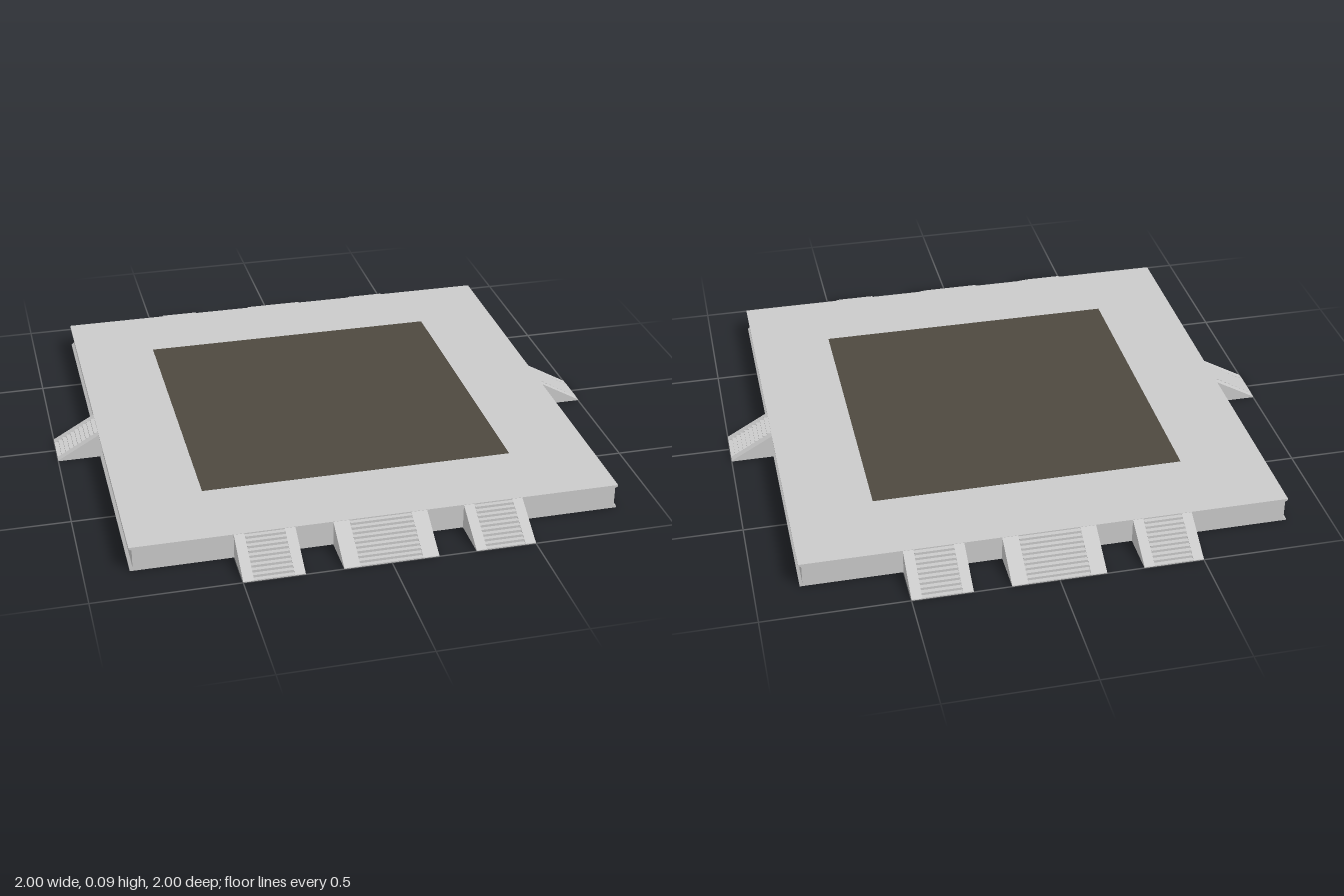
import * as THREE from 'three';

const HALF = 0.848, HEIGHT = 0.09, RUN = 0.152;

// Extrudes a side profile (outward, up) across a width centred on x = 0, running out to +z
function extrudeProfile(points, width) {
  const shape = new THREE.Shape(points.map(([a, b]) => new THREE.Vector2(a, b)));
  const geo = new THREE.ExtrudeGeometry(shape, { depth: width, bevelEnabled: false });
  geo.translate(0, 0, -width / 2);
  geo.rotateY(-Math.PI / 2);
  return geo;
}

function makeStair(name, width, cheek, steps, stone) {
  const stair = new THREE.Group();
  stair.name = name;

  // Saw-tooth flight of steps
  const profile = [[-0.012, 0], [RUN, 0]];
  for (let i = steps - 1; i >= 0; i--) {
    const y = HEIGHT * (1 - (i + 0.5) / steps);
    profile.push([RUN * (i + 1) / steps, y], [RUN * i / steps, y]);
  }
  profile.push([-0.012, profile[profile.length - 1][1]]);
  const flight = new THREE.Mesh(extrudeProfile(profile, width - 2 * cheek), stone);
  flight.name = 'steps';
  stair.add(flight);

  // Sloping cheek walls on both sides
  const slope = [[-0.012, 0], [RUN, 0], [RUN, 0.003], [0, HEIGHT - 0.001], [-0.012, HEIGHT - 0.001]];
  for (const side of [-1, 1]) {
    const wall = new THREE.Mesh(extrudeProfile(slope, cheek), stone);
    wall.name = 'cheekWall';
    wall.position.x = side * (width - cheek) / 2;
    stair.add(wall);
  }
  return stair;
}

export function createModel() {
  const model = new THREE.Group();
  model.name = 'steppedPlatform';
  const stone = new THREE.MeshStandardMaterial({ color: 0xcacaca });
  stone.name = 'pale stone';
  const earth = new THREE.MeshStandardMaterial({ color: 0x4e493f });
  earth.name = 'dark earth';

  // Platform with shallow recesses along its left and right walls
  const edge = [[HALF, 0], [HALF, 0.005], [HALF - 0.01, 0.013], [HALF - 0.01, 0.079], [HALF, 0.085], [HALF, HEIGHT]];
  const outline = [...edge, ...edge.map(([x, y]) => [-x, y]).reverse()];
  const shape = new THREE.Shape(outline.map(([x, y]) => new THREE.Vector2(x, y)));
  const body = new THREE.ExtrudeGeometry(shape, { depth: 2 * HALF, bevelEnabled: false });
  body.translate(0, 0, -HALF);
  const platform = new THREE.Mesh(body, stone);
  platform.name = 'platform';
  model.add(platform);

  // Dark square court set on the top
  const court = new THREE.Mesh(new THREE.BoxGeometry(1.106, 0.002, 1.106), earth);
  court.name = 'court';
  court.position.y = HEIGHT;
  model.add(court);

  // Three stairs at the front and back, one on each side
  for (let i = 0; i < 4; i++) {
    const face = new THREE.Group();
    face.name = ['frontStairs', 'leftStairs', 'backStairs', 'rightStairs'][i];
    face.rotation.y = i * Math.PI / 2;
    if (i % 2 === 0) {
      face.add(makeStair('wideStair', 0.325, 0.055, 10, stone));
      for (const side of [-1, 1]) {
        const stair = makeStair('narrowStair', 0.208, 0.036, 10, stone);
        stair.position.x = side * 0.396;
        face.add(stair);
      }
    } else {
      face.add(makeStair('sideStair', 0.16, 0.026, 10, stone));
    }
    face.children.forEach((stair) => { stair.position.z = HALF; });
    model.add(face);
  }
  return model;
}
